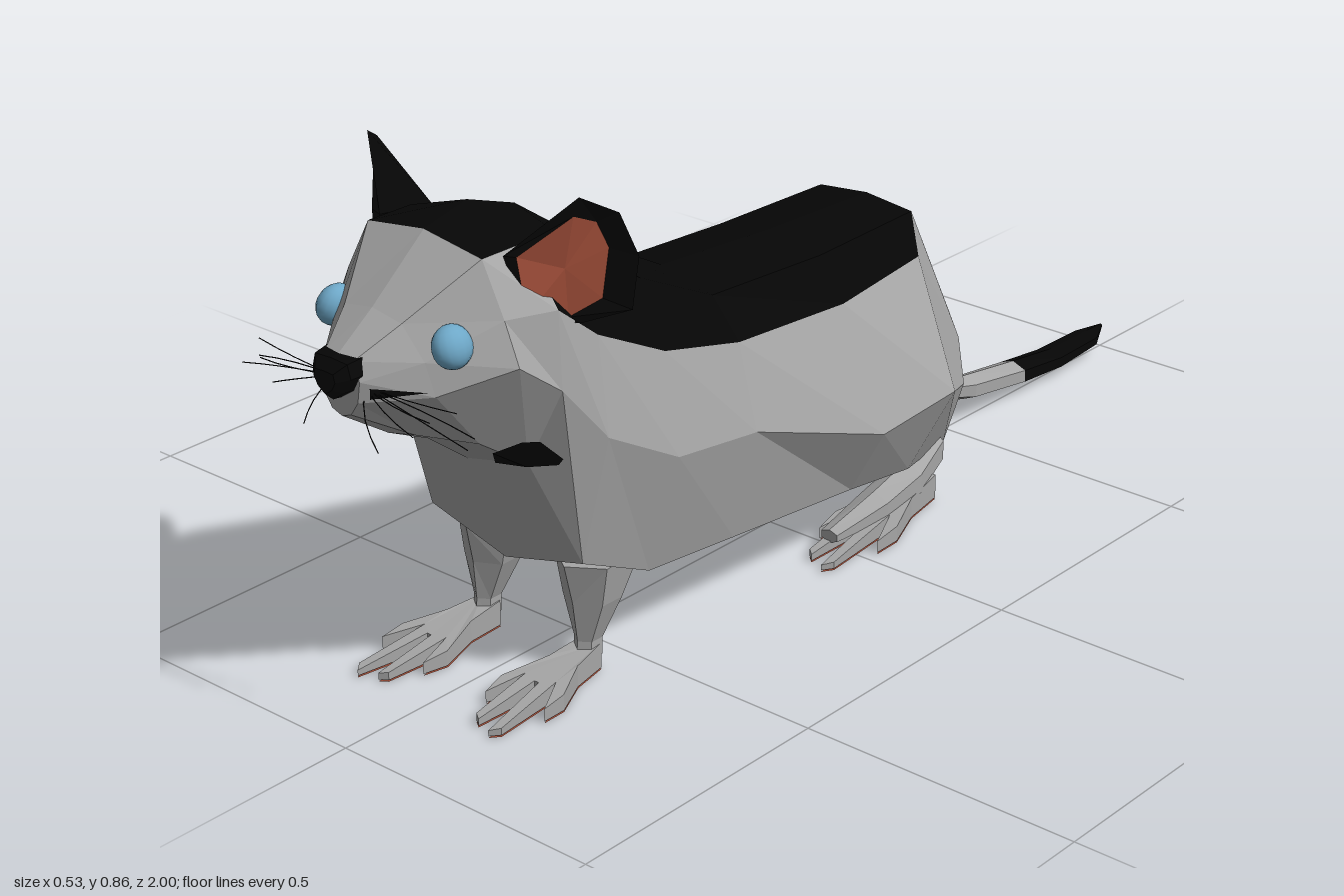
import * as THREE from 'three';

const paint = (name, color, side = THREE.FrontSide) =>
  Object.assign(new THREE.MeshStandardMaterial({ color, side, flatShading: true }), { name });

// Skin over closed rings of points, front to back; pick(i, j) chooses a material slot
function loft(rings, pick = () => 0) {
  const slots = [[], []];
  const n = rings[0].length;
  const mid = r => [0, 1, 2].map(k => r.reduce((s, p) => s + p[k], 0) / n);
  const last = rings.length - 1;
  for (let j = 0; j < n; j++) {
    const k = (j + 1) % n;
    for (let i = 0; i < last; i++) {
      const a = rings[i][j], b = rings[i][k], c = rings[i + 1][k], d = rings[i + 1][j];
      slots[pick(i, j)].push(...a, ...b, ...c, ...a, ...c, ...d);
    }
    slots[pick(0, j)].push(...mid(rings[0]), ...rings[0][k], ...rings[0][j]);
    slots[pick(last - 1, j)].push(...mid(rings[last]), ...rings[last][j], ...rings[last][k]);
  }
  const g = new THREE.BufferGeometry();
  g.setAttribute('position', new THREE.Float32BufferAttribute(slots.flat(), 3));
  g.addGroup(0, slots[0].length / 3, 0);
  g.addGroup(slots[0].length / 3, slots[1].length / 3, 1);
  g.computeVertexNormals();
  return g;
}

// Six-sided ring with half width w, half height h (upright) or half depth d (lying flat)
const hex = ([x, y, z, w, h, d = 0]) => Array.from({ length: 6 }, (_, k) => {
  const a = k * Math.PI / 3;
  return [x + Math.sin(a) * w, y + Math.cos(a) * h, z - Math.cos(a) * d];
});

// Triangles from a list of corner points
function facets(points) {
  const g = new THREE.BufferGeometry();
  g.setAttribute('position', new THREE.Float32BufferAttribute(points.flat(), 3));
  g.computeVertexNormals();
  return g;
}

const fan = (hub, pts, closed = true) => pts.flatMap((p, i) =>
  !closed && i === pts.length - 1 ? [] : [hub, p, pts[(i + 1) % pts.length]]);

export function createModel() {
  const model = new THREE.Group();
  const grey = paint('greyFur', 0xa6a6a6);
  const black = paint('blackFur', 0x060606, THREE.DoubleSide);
  const pink = paint('pinkSkin', 0xa8523c, THREE.DoubleSide);
  const blue = paint('blueEye', 0x6ea8c8);
  blue.flatShading = false;

  const add = (parent, name, geometry, material) => {
    const m = new THREE.Mesh(geometry, material);
    m.name = name;
    parent.add(m);
    return m;
  };

  // Head and body: z, y of top; z, y of bottom; then x and drop of top corner, edge, widest; low x
  const rows = [
    [.97, .65, .97, .55, .03, .05, .042, .35, .036, .7, .02],
    [.90, .70, .88, .49, .06, .05, .10, .3, .115, .55, .06],
    [.79, .79, .80, .452, .12, .05, .165, .3, .195, .5, .11],
    [.70, .81, .72, .39, .12, .09, .19, .3, .20, .6, .13],
    [.60, .775, .645, .19, .12, .06, .18, .28, .21, .55, .165],
    [.45, .67, .50, .125, .12, .06, .18, .25, .22, .55, .17],
    [.27, .57, .30, .115, .11, .05, .17, .19, .215, .5, .175],
    [0, .55, 0, .09, .11, .04, .16, .2, .25, .66, .18],
    [-.26, .54, -.15, .07, .10, .02, .13, .17, .25, .6, .18],
    [-.43, .29, -.36, .04, .06, .05, .09, .2, .12, .5, .10],
    [-.475, .13, -.46, .05, .02, .05, .03, .3, .035, .6, .02],
  ];
  const bodyRings = rows.map(([zt, yt, zb, yb, xt, tt, xe, te, xw, tw, xl]) => {
    const at = (x, t) => [x, yt + (yb - yt) * t, zt + (zb - zt) * t];
    const half = [at(xt, tt), at(xe, te), at(xw, tw), at(xl, .93)];
    return [at(0, 0), ...half, at(0, 1), ...half.map(([x, y, z]) => [-x, y, z]).reverse()];
  });
  const saddle = (i, j) => {
    const column = Math.min(j, 9 - j);
    return i >= 2 && i <= 7 && column <= (i === 2 ? 0 : 1) ? 1 : 0;
  };
  add(model, 'body', loft(bodyRings, saddle), [grey, black]);

  // Nose: wide above, narrowing to a point below
  const noseRing = (z, s) => [[0, .652], [.038, .65], [.045, .625], [.03, .598], [0, .578],
    [-.03, .598], [-.045, .625], [-.038, .65]].map(([x, y]) => [x * s, .612 + (y - .612) * s, z]);
  add(model, 'nose', loft([noseRing(1, .5), noseRing(.985, .9), noseRing(.955, 1)]), black);

  // Tail with a dark tip
  const tailRings = [
    [0, .085, -.44, .035, .03], [0, .075, -.51, .014, .02], [0, .066, -.56, .031, .024], [0, .045, -.71, .034, .023],
    [0, .033, -.83, .033, .019], [0, .036, -.95, .03, .014], [0, .046, -1, .004, .003],
  ].map(hex);
  add(model, 'tail', loft(tailRings, i => (i > 2 ? 1 : 0)), [grey, black]);

  // Foot outline with four toes, pointing along +z from the heel
  const outline = [[-.02, -.02], [-.028, .05], [-.06, .13], [-.053, .175], [-.03, .105], [-.028, .225],
    [-.015, .235], [-.004, .115], [.005, .115], [.018, .25], [.032, .235], [.028, .1], [.058, .165],
    [.06, .12], [.03, .05], [.02, -.02]];
  const footShape = new THREE.Shape(outline.map(p => new THREE.Vector2(...p)));
  const footTop = new THREE.ExtrudeGeometry(footShape, { depth: 1, bevelEnabled: false }).rotateX(Math.PI / 2);
  const fp = footTop.attributes.position;
  for (let i = 0; i < fp.count; i++) {
    fp.setY(i, fp.getY(i) < -.5 ? .006 : .05 - .034 * Math.max(0, fp.getZ(i)) / .25);
  }
  footTop.computeVertexNormals();
  const sole = new THREE.ShapeGeometry(footShape).rotateX(Math.PI / 2).translate(0, .003, 0);

  const addFoot = (parent, name, x, z, stretch, turn) => {
    const foot = new THREE.Group();
    foot.name = name;
    foot.position.set(x, 0, z);
    foot.scale.z = stretch;
    foot.rotation.y = turn;
    add(foot, name + 'Top', footTop, grey);
    add(foot, name + 'Sole', sole, pink);
    parent.add(foot);
  };

  // Parts that come in pairs
  for (const side of [1, -1]) {
    const half = new THREE.Group();
    half.name = side > 0 ? 'leftParts' : 'rightParts';
    half.scale.x = side;
    model.add(half);

    const eye = add(half, 'eye', new THREE.SphereGeometry(1, 16, 12), blue);
    eye.scale.set(.027, .034, .034);
    eye.position.set(.123, .658, .86);
    eye.rotation.z = .3;

    // Ear: dark rim and back around a pink hollow
    const rim = [[.13, .77, .757], [.222, .865, .69], [.255, .835, .64], [.265, .76, .61],
      [.25, .67, .61], [.19, .648, .66], [.155, .675, .742]];
    const inner = [[.152, .772, .752], [.21, .832, .69], [.22, .815, .652], [.225, .77, .632],
      [.21, .685, .632], [.18, .66, .675], [.16, .678, .742]];
    const rimFaces = rim.flatMap((p, i) => {
      const k = (i + 1) % rim.length;
      return [p, inner[i], inner[k], p, inner[k], rim[k]];
    });
    add(half, 'ear', facets([...rimFaces, ...fan([.16, .74, .62], rim)]), black);
    add(half, 'earInside', facets(fan([.19, .745, .69], inner)), pink);

    // Dark throat patch
    add(half, 'throatPatch', facets(fan([.13, .422, .72],
      [[.068, .412, .725], [.114, .46, .775], [.148, .478, .746], [.158, .472, .718], [.178, .425, .675]], false))
      .translate(.004, -.004, .006), black);

    // Dark whisker pad, with whiskers fanning out from it
    add(half, 'whiskerPad', facets([[.053, .605, .961], [.053, .588, .961], [.113, .596, .903]]), black);
    for (const [x, y, z] of [[.24, .56, .95], [.23, .566, .925], [.21, .605, .94],
      [.18, .59, .965], [.15, .56, .97], [.08, .515, .975]]) {
      const path = new THREE.QuadraticBezierCurve3(new THREE.Vector3(.035, .598, .95),
        new THREE.Vector3(x * .6, .598 + (y - .598) * .3, z + .01), new THREE.Vector3(x, y, z));
      add(half, 'whisker', new THREE.TubeGeometry(path, 4, .001, 3), black);
    }

    // Front leg tapers from the chest down to the ankle
    add(half, 'frontLeg', loft([[.108, .2, .55, .066, 0, .075], [.11, .13, .565, .05, 0, .045],
      [.112, .06, .578, .022, 0, .025], [.112, .03, .58, .022, 0, .026]].map(hex)), grey);
    addFoot(half, 'frontFoot', .112, .59, 1, .06);

    // Hind leg lies low, from the instep back into the rump
    add(half, 'hindLeg', loft([[.15, .032, .02, .02, .012], [.152, .045, -.1, .035, .028],
      [.145, .057, -.2, .037, .035], [.115, .072, -.31, .03, .035]].map(hex)), grey);
    addFoot(half, 'hindFoot', .147, -.23, 1.28, .07);
  }
  return model;
}
